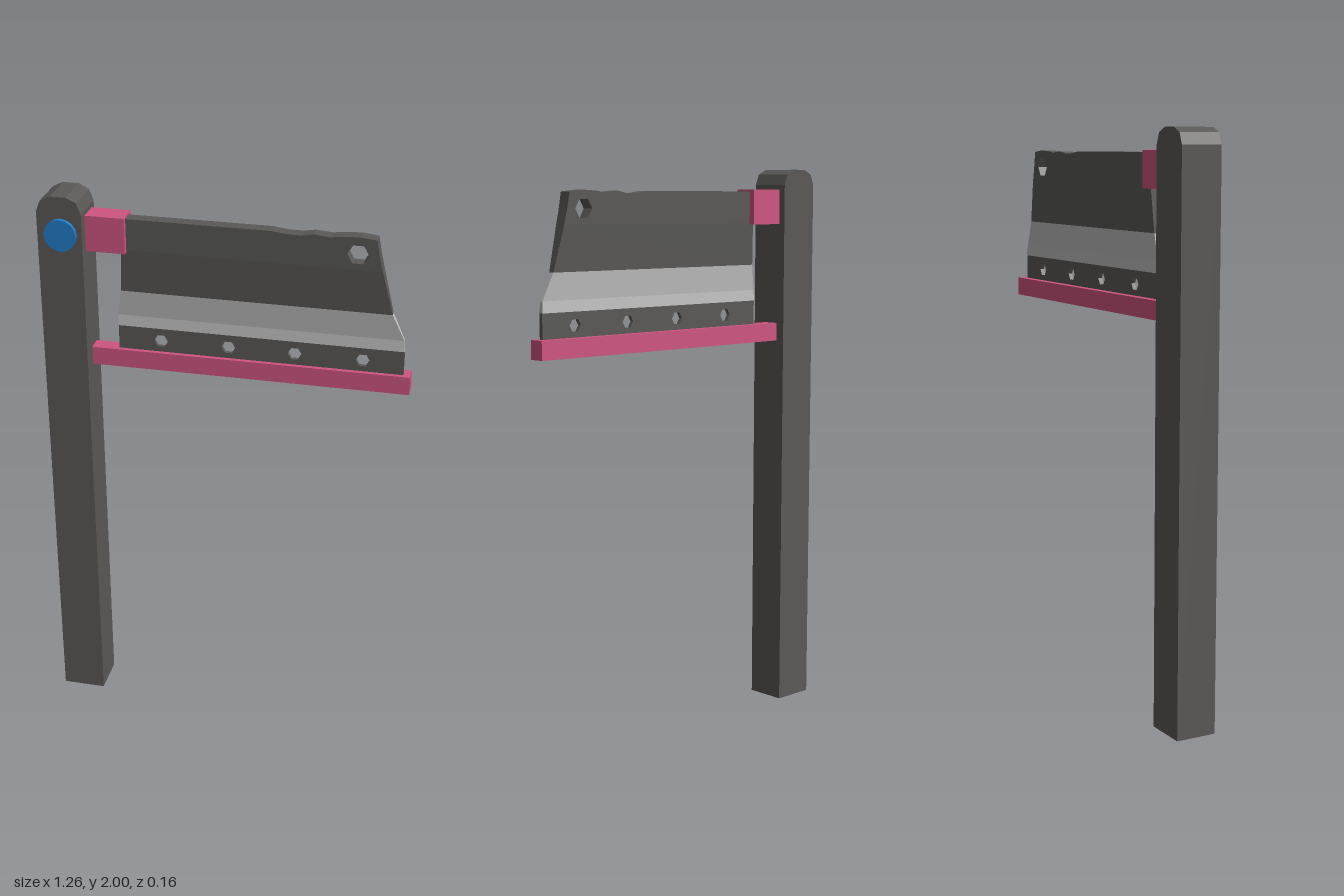
import * as THREE from 'three';

const mat = (name, color, extra = {}) => {
  const m = new THREE.MeshStandardMaterial({ color, ...extra });
  m.name = name;
  return m;
};

export function createModel() {
  const group = new THREE.Group();
  group.name = 'bladeOnPost';
  const dark = mat('dark grey', 0x5a5957);
  const darkOpen = mat('dark grey', 0x5a5957);
  darkOpen.side = THREE.DoubleSide;
  const steel = mat('light steel', 0xbdbdbd);
  const pink = mat('pink', 0xcf5580);
  const blue = mat('blue', 0x227dca);

  const add = (name, geometry, material, x = 0, y = 0, z = 0) => {
    const mesh = new THREE.Mesh(geometry, material);
    mesh.name = name;
    mesh.position.set(x, y, z);
    group.add(mesh);
    return mesh;
  };
  const box = (name, material, x0, x1, y0, y1, z0, z1) =>
    add(name, new THREE.BoxGeometry(x1 - x0, y1 - y0, z1 - z0), material,
      (x0 + x1) / 2, (y0 + y1) / 2, (z0 + z1) / 2);
  const shapeOf = pts => new THREE.Shape(pts.map(p => new THREE.Vector2(...p)));
  const hexHole = (x, y, r) => {
    const path = new THREE.Path();
    for (let i = 0; i < 6; i++) {
      const a = -i * Math.PI / 3;
      path[i ? 'lineTo' : 'moveTo'](x + r * Math.cos(a), y + r * Math.sin(a));
    }
    path.closePath();
    return path;
  };

  // Upright post with a rounded top and an open underside
  const post = new THREE.ExtrudeGeometry(shapeOf([
    [-0.635, 0], [-0.48, 0], [-0.48, 1.945], [-0.495, 1.983], [-0.53, 2],
    [-0.585, 2], [-0.62, 1.983], [-0.635, 1.945],
  ]), { depth: 0.146, bevelEnabled: false });
  const src = post.attributes.position, kept = [];
  for (let i = 0; i < src.count; i += 3) {
    if ([0, 1, 2].every(k => src.getY(i + k) < 1e-4)) continue; // skip the underside
    for (let k = 0; k < 3; k++) kept.push(src.getX(i + k), src.getY(i + k), src.getZ(i + k));
  }
  const openPost = new THREE.BufferGeometry();
  openPost.setAttribute('position', new THREE.Float32BufferAttribute(kept, 3));
  openPost.computeVertexNormals();
  add('post', openPost, darkOpen, 0, 0, -0.08);

  // Round bolt head on the front of the post
  const bolt = new THREE.CylinderGeometry(0.056, 0.056, 0.015, 16);
  bolt.rotateX(Math.PI / 2);
  add('boltHead', bolt, blue, -0.553, 1.87, 0.0725);

  // Bracket and lower rail
  box('upperBracket', pink, -0.48, -0.345, 1.803, 1.928, -0.055, 0.028);
  box('lowerRail', pink, -0.48, 0.63, 1.375, 1.44, -0.047, 0.01);

  // Blade bands: each is an extrusion whose thickness runs linearly with height
  const bladeBand = (name, material, pts, holes, yLow, halfLow, yHigh, halfHigh) => {
    const shape = shapeOf(pts);
    shape.holes = holes;
    const g = new THREE.ExtrudeGeometry(shape, { depth: 2, bevelEnabled: false });
    g.translate(0, 0, -1);
    const p = g.attributes.position;
    for (let i = 0; i < p.count; i++) {
      const t = THREE.MathUtils.clamp((p.getY(i) - yLow) / (yHigh - yLow), 0, 1);
      p.setZ(i, p.getZ(i) * THREE.MathUtils.lerp(halfLow, halfHigh, t));
    }
    g.computeVertexNormals();
    add(name, g, material, 0, 0, -0.0125);
  };

  bladeBand('bladeSpine', dark, [
    [-0.363, 1.81], [0.52, 1.81], [0.508, 1.86], [0.497, 1.918], [0.44, 1.924], [0.385, 1.921],
    [0.345, 1.916], [0.29, 1.921], [0.25, 1.914], [0.205, 1.914], [0.15, 1.921], [-0.36, 1.921],
  ], [hexHole(0.437, 1.863, 0.036)], 1.81, 0.021, 1.92, 0.0225);
  bladeBand('bladeFlank', dark,
    [[-0.371, 1.657], [0.559, 1.657], [0.52, 1.81], [-0.363, 1.81]],
    [], 1.657, 0.011, 1.81, 0.021);
  bladeBand('upperBevel', steel,
    [[-0.385, 1.565], [0.602, 1.565], [0.559, 1.657], [-0.371, 1.657]],
    [], 1.565, 0.005, 1.657, 0.011);
  bladeBand('lowerBevel', steel,
    [[-0.385, 1.526], [0.605, 1.526], [0.602, 1.565], [-0.385, 1.565]],
    [], 1.526, 0.009, 1.565, 0.005);
  bladeBand('edgeStrip', dark,
    [[-0.385, 1.439], [0.605, 1.439], [0.605, 1.526], [-0.385, 1.526]],
    [-0.235, 0.003, 0.233, 0.466].map(x => hexHole(x, 1.48, 0.024)),
    1.439, 0.007, 1.526, 0.007);

  return group;
}
